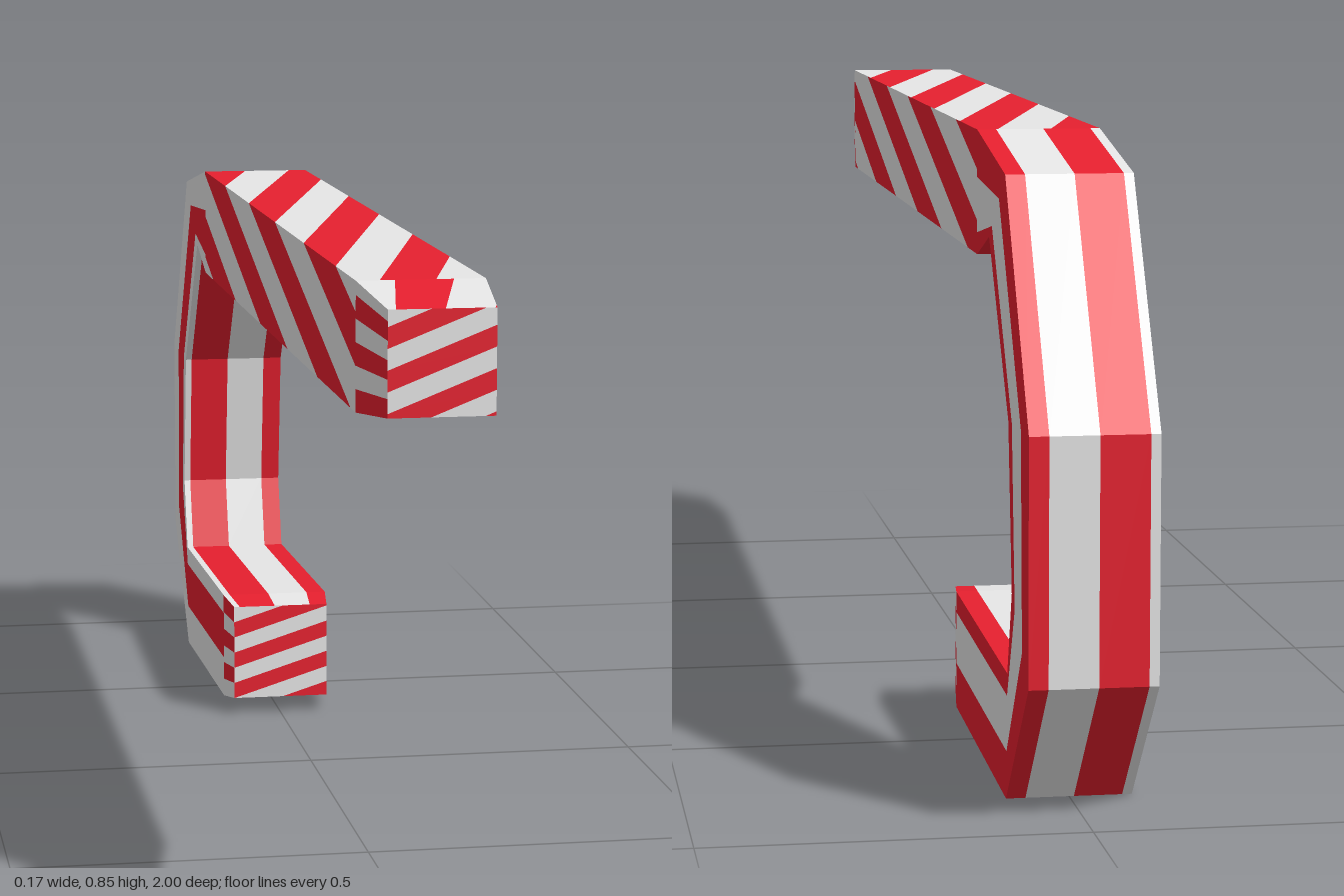
import * as THREE from 'three';

const red = new THREE.MeshStandardMaterial({ color: 0xe9202f });
red.name = 'candy red';
const white = new THREE.MeshStandardMaterial({ color: 0xe7e7e7 });
white.name = 'sugar white';

// Cross-sections along the cane: outer z, outer y, inner z, inner y, half width
const stations = [
  [1.0, 0.832, 1.0, 0.698, 0.068],
  [0.86, 0.85, 0.86, 0.683, 0.083],
  [-0.57, 0.85, -0.57, 0.683, 0.083],
  [-0.81, 0.81, -0.675, 0.717, 0.083],
  [-1.0, 0.503, -0.838, 0.498, 0.083],
  [-1.0, 0.184, -0.868, 0.28, 0.083],
  [-0.823, 0, -0.832, 0.168, 0.083],
  [-0.37, 0.015, -0.37, 0.182, 0.083],
  [-0.305, 0.026, -0.305, 0.176, 0.075],
];

// Corners of a cross-section: outer left/right edge, inner left/right edge
function corners(i) {
  const [zo, yo, zi, yi, h] = stations[i];
  return {
    a: new THREE.Vector3(-h, yo, zo), b: new THREE.Vector3(h, yo, zo),
    c: new THREE.Vector3(-h, yi, zi), d: new THREE.Vector3(h, yi, zi),
  };
}

// Keep the part of a (v, u) polygon where f >= 0
function clip(poly, f) {
  const out = [];
  poly.forEach((p, i) => {
    const q = poly[(i + 1) % poly.length], fp = f(p), fq = f(q);
    if (fp >= 0) out.push(p);
    if ((fp > 0 && fq < 0) || (fp < 0 && fq > 0)) {
      const t = fp / (fp - fq);
      out.push([p[0] + (q[0] - p[0]) * t, p[1] + (q[1] - p[1]) * t]);
    }
  });
  return out;
}

// Cut a quad (p0-p1 at u = 0, q0-q1 at u = 1) into alternating stripes.
// Stripe phase = base + pv * v + pu * u; the first half of each period is red.
function stripedQuad(store, p0, p1, q0, q1, [base, pv, pu = 0], flip) {
  const phase = ([v, u]) => base + pv * v + pu * u;
  const square = [[0, 0], [1, 0], [1, 1], [0, 1]];
  const values = square.map(phase);
  const first = Math.floor(Math.min(...values) * 2);
  const last = Math.ceil(Math.max(...values) * 2);
  for (let k = first; k < last; k++) {
    let poly = clip(square, (p) => phase(p) - k / 2);
    poly = clip(poly, (p) => (k + 1) / 2 - phase(p));
    if (poly.length < 3) continue;
    const pts = poly.map(([v, u]) => p0.clone().lerp(p1, v).lerp(q0.clone().lerp(q1, v), u));
    if (flip) pts.reverse();
    const list = store[Math.abs(k % 2)];
    for (let i = 1; i < pts.length - 1; i++) {
      for (const p of [pts[0], pts[i], pts[i + 1]]) list.push(p.x, p.y, p.z);
    }
  }
}

// Four striped walls between two neighbouring cross-sections
function segment(store, i, s) {
  const A = corners(i), B = corners(i + 1);
  stripedQuad(store, A.a, A.b, B.a, B.b, s.outer, false);
  stripedQuad(store, A.b, A.d, B.b, B.d, s.right, false);
  stripedQuad(store, A.c, A.d, B.c, B.d, s.inner, true);
  stripedQuad(store, A.a, A.c, B.a, B.c, s.left, true);
}

function buildMesh(name, fill) {
  const store = [[], []];
  fill(store);
  const geo = new THREE.BufferGeometry();
  geo.setAttribute('position', new THREE.Float32BufferAttribute(store[0].concat(store[1]), 3));
  geo.addGroup(0, store[0].length / 3, 0);
  geo.addGroup(store[0].length / 3, store[1].length / 3, 1);
  geo.computeVertexNormals();
  const mesh = new THREE.Mesh(geo, [red, white]);
  mesh.name = name;
  return mesh;
}

// Stripe phases for the spiralling shaft, the hook and the tapered ends
const spiral = {
  outer: [2.79, 1.15, -2.75], right: [2.86, 1.22, -2.75],
  inner: [2.29, -1.3, -2.75], left: [2.79, -1.22, -2.75],
};
const along = {
  outer: [-0.1, 1.3], right: [0.07, 1.13],
  inner: [-0.08, 1.32], left: [0.57, 1.13],
};
const shaftTaper = {
  outer: [-0.1, 1.2, -0.25 + 0.1], right: [-0.3, 2.8],
  inner: [-0.35, 1.2], left: [-0.3, 2.8],
};
shaftTaper.outer = [-0.1, 1.15, -0.2 + 0.0];
shaftTaper.outer = [-0.08, 1.1, -0.25];
const hookTaper = { ...along, right: [0, 3], left: [0.5, 3] };

export function createModel() {
  const cane = new THREE.Group();
  cane.name = 'candyCane';

  cane.add(buildMesh('shaft', (s) => segment(s, 1, spiral)));
  cane.add(buildMesh('hook', (s) => {
    for (let i = 2; i < 7; i++) segment(s, i, along);
  }));

  // Tapered tips with diagonally striped end faces
  cane.add(buildMesh('shaftTip', (s) => {
    segment(s, 0, shaftTaper);
    const e = corners(0);
    stripedQuad(s, e.a, e.b, e.c, e.d, [0.6, 1, 2.5], true);
  }));
  cane.add(buildMesh('hookTip', (s) => {
    segment(s, 7, hookTaper);
    const e = corners(8);
    stripedQuad(s, e.c, e.d, e.a, e.b, [0.5, 0.95, 3], true);
  }));
  return cane;
}
